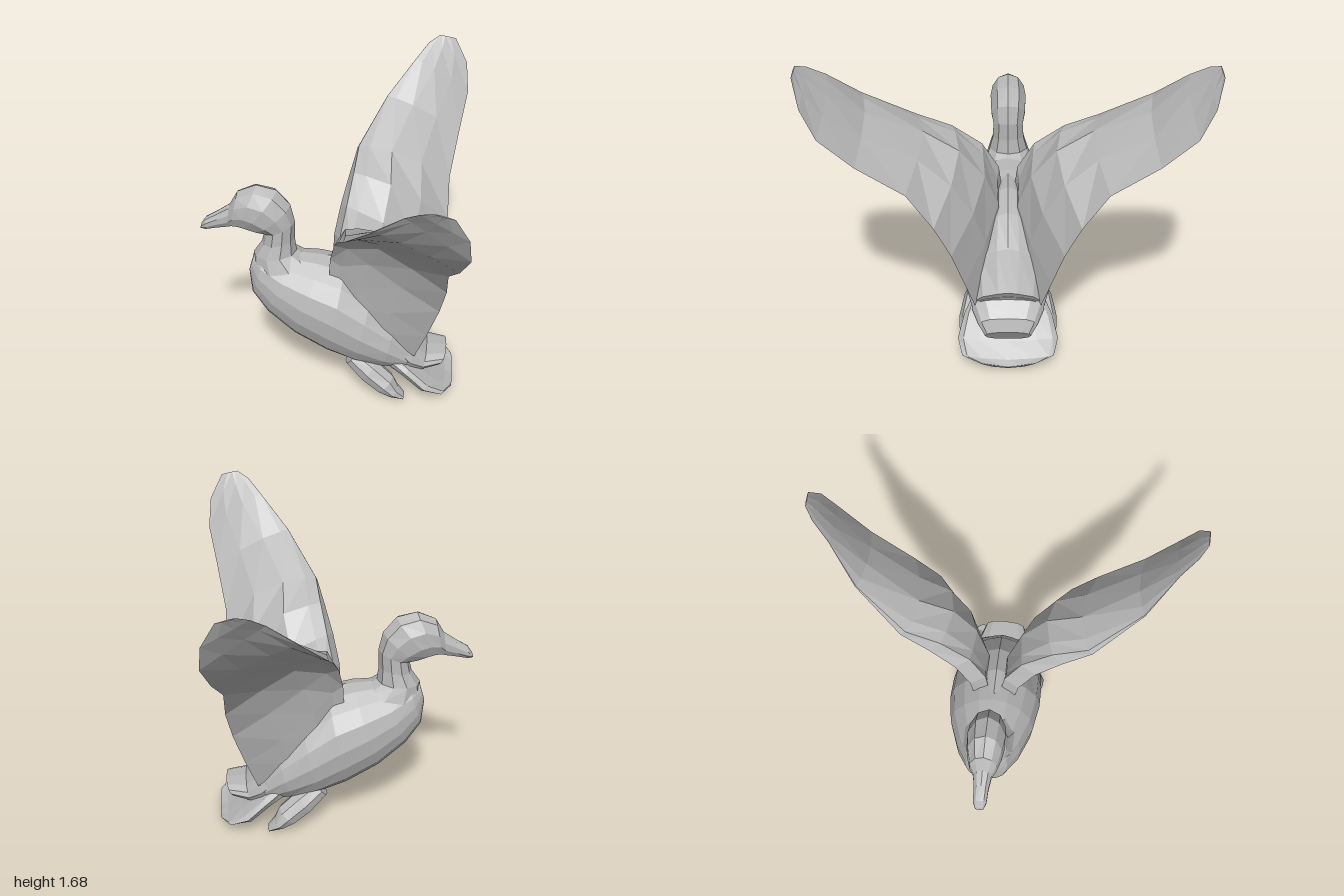
import * as THREE from 'three';

const plumage = new THREE.MeshStandardMaterial({ color: 0xb8b8b8 });
plumage.name = 'plumage grey';

// Skins a list of closed rings of points, caps both ends and gives flat facets.
function skin(name, rings) {
  const n = rings[0].length;
  const points = rings.flat();
  const index = [];
  for (let i = 0; i < rings.length - 1; i++) {
    for (let j = 0; j < n; j++) {
      const a = i * n + j, b = i * n + (j + 1) % n;
      index.push(a, b, a + n, b, b + n, a + n);
    }
  }
  const last = (rings.length - 1) * n;
  for (let j = 1; j < n - 1; j++) {
    index.push(0, j + 1, j, last, last + j, last + j + 1);
  }
  // Turn all faces outward when the enclosed volume comes out negative.
  let volume = 0;
  const cross = new THREE.Vector3();
  for (let i = 0; i < index.length; i += 3) {
    const [a, b, c] = [points[index[i]], points[index[i + 1]], points[index[i + 2]]];
    volume += a.dot(cross.crossVectors(b, c));
  }
  if (volume < 0) index.reverse();
  const indexed = new THREE.BufferGeometry().setFromPoints(points);
  indexed.setIndex(index);
  const geometry = indexed.toNonIndexed();
  geometry.computeVertexNormals();
  const mesh = new THREE.Mesh(geometry, plumage);
  mesh.name = name;
  return mesh;
}

// Each section is [topX, topY, bottomX, bottomY, halfWidth, centreZ];
// rise lifts the sides into a shallow bowl. upper and lower shape the halves
// of the section: below 1 is boxy, above 1 is pinched to a ridge.
function loft(name, sections, { side = 1, rise = 0, upper = 1, lower = 1, sides = 12 } = {}) {
  return skin(name, sections.map(([tx, ty, bx, by, w, z = 0]) => {
    const ring = [];
    for (let j = 0; j < sides; j++) {
      const a = (j / sides) * Math.PI * 2;
      const s = Math.sin(a), c = Math.cos(a);
      const across = Math.sign(s) * Math.abs(s) ** (c > 0 ? upper : lower);
      const t = (1 - c) / 2;
      ring.push(new THREE.Vector3(
        tx + (bx - tx) * t,
        ty + (by - ty) * t + rise * across * across,
        side * z + w * across));
    }
    return ring;
  }));
}

// Wing stations: leading edge, trailing edge, thickness, camber, bluntness of the leading edge.
const wingStations = [
  [[0.01, 0.71, 0.07], [0.47, 0.27, 0.18], 0.070, 0.01, 0.6],
  [[0.02, 0.86, 0.09], [0.53, 0.45, 0.23], 0.075, 0.02, 0.6],
  [[0.05, 1.01, 0.175], [0.59, 0.66, 0.29], 0.065, 0.05, 0.7],
  [[0.08, 1.125, 0.32], [0.62, 0.84, 0.37], 0.048, 0.08, 0.8],
  [[0.105, 1.21, 0.485], [0.62, 1.03, 0.50], 0.030, 0.065, 0.6],
  [[0.25, 1.41, 0.73], [0.665, 1.21, 0.73], 0.016, 0.03, 0.2],
  [[0.40, 1.58, 0.87], [0.705, 1.38, 0.89], 0.010, 0.012, 0],
  [[0.47, 1.65, 0.95], [0.69, 1.53, 0.96], 0.007, 0.005, 0],
  [[0.53, 1.68, 0.99], [0.62, 1.66, 0.995], 0.003, 0, 0],
];

function wing(name, side) {
  const chord = [0, 0.1, 0.32, 0.65, 1];
  const loop = [...chord.map(u => [u, 1]), ...chord.slice(0, -1).reverse().map(u => [u, -1])];
  const lead = wingStations.map(s => new THREE.Vector3(...s[0]));
  const trail = wingStations.map(s => new THREE.Vector3(...s[1]));
  const mid = lead.map((p, i) => p.clone().add(trail[i]).multiplyScalar(0.5));
  const rings = wingStations.map(([, , thick, camber, blunt], i) => {
    const span = mid[Math.min(i + 1, mid.length - 1)].clone().sub(mid[Math.max(i - 1, 0)]);
    const normal = trail[i].clone().sub(lead[i]).cross(span).normalize();
    if (normal.z > 0) normal.negate();
    return loop.map(([u, face]) => {
      const bulge = Math.sin(Math.PI * u ** 0.75);
      const fullness = Math.max(bulge, blunt * (1 - u), 0.08);
      const p = lead[i].clone().lerp(trail[i], u);
      p.addScaledVector(normal, bulge * camber + face * thick * fullness);
      p.z = side * Math.max(p.z, 0.025);
      return p;
    });
  });
  return skin(name, rings);
}

export function createModel() {
  const duck = new THREE.Group();
  duck.name = 'duck';

  // Slanted body from breast to rump
  duck.add(loft('body', [
    [-0.42, 0.80, -0.452, 0.69, 0.05],
    [-0.35, 0.83, -0.435, 0.56, 0.115],
    [-0.22, 0.81, -0.35, 0.45, 0.175],
    [-0.06, 0.80, -0.20, 0.33, 0.23],
    [0.08, 0.77, -0.02, 0.23, 0.255],
    [0.23, 0.65, 0.13, 0.175, 0.255],
    [0.37, 0.50, 0.28, 0.15, 0.235],
    [0.48, 0.33, 0.40, 0.14, 0.19],
  ], { upper: 1.15, lower: 0.7, sides: 16 }));

  // Narrow ridge along the back where the wings meet
  duck.add(loft('backRidge', [
    [-0.02, 0.795, -0.05, 0.60, 0.08],
    [0.12, 0.79, 0.06, 0.50, 0.13],
    [0.27, 0.72, 0.18, 0.40, 0.17],
    [0.40, 0.58, 0.30, 0.30, 0.19],
    [0.50, 0.37, 0.42, 0.22, 0.17],
  ], { upper: 1.7 }));

  // Neck, head and bill in one sweep
  duck.add(loft('neckHeadAndBill', [
    [-0.10, 0.77, -0.44, 0.70, 0.14],
    [-0.19, 0.82, -0.425, 0.80, 0.11],
    [-0.20, 0.90, -0.378, 0.87, 0.09],
    [-0.197, 1.00, -0.365, 0.93, 0.085],
    [-0.22, 1.10, -0.42, 0.935, 0.098],
    [-0.29, 1.185, -0.48, 0.95, 0.102],
    [-0.40, 1.212, -0.51, 0.955, 0.092],
    [-0.50, 1.17, -0.54, 0.955, 0.072],
    [-0.545, 1.09, -0.56, 0.95, 0.05],
    [-0.61, 1.045, -0.62, 0.94, 0.04],
    [-0.68, 1.00, -0.68, 0.93, 0.036],
    [-0.705, 0.96, -0.71, 0.935, 0.022],
  ], { sides: 10 }));

  // Fanned tail and the raised feathers above it
  duck.add(loft('tailFan', [
    [0.34, 0.30, 0.29, 0.15, 0.18],
    [0.46, 0.20, 0.40, 0.11, 0.235],
    [0.57, 0.11, 0.50, 0.04, 0.265],
    [0.65, 0.05, 0.61, 0.018, 0.24],
    [0.69, 0.035, 0.68, 0.02, 0.15],
  ], { rise: 0.03, upper: 0.8, lower: 0.8 }));
  duck.add(loft('tailCoverts', [
    [0.38, 0.45, 0.36, 0.20, 0.20],
    [0.47, 0.31, 0.44, 0.15, 0.19],
    [0.54, 0.235, 0.51, 0.13, 0.155],
    [0.65, 0.23, 0.60, 0.15, 0.12],
  ], { upper: 0.7, lower: 0.7 }));

  // Paired wings and trailing feet
  for (const side of [1, -1]) {
    const label = side > 0 ? 'front' : 'back';
    duck.add(wing(label + 'Wing', side));
    duck.add(loft(label + 'Foot', [
      [0.16, 0.27, 0.09, 0.18, 0.06, 0.13],
      [0.26, 0.22, 0.18, 0.10, 0.07, 0.17],
      [0.36, 0.14, 0.27, 0.045, 0.07, 0.195],
      [0.39, 0.075, 0.34, 0.022, 0.06, 0.205],
      [0.425, 0.025, 0.42, 0, 0.035, 0.205],
    ], { side, sides: 8 }));
  }
  return duck;
}
